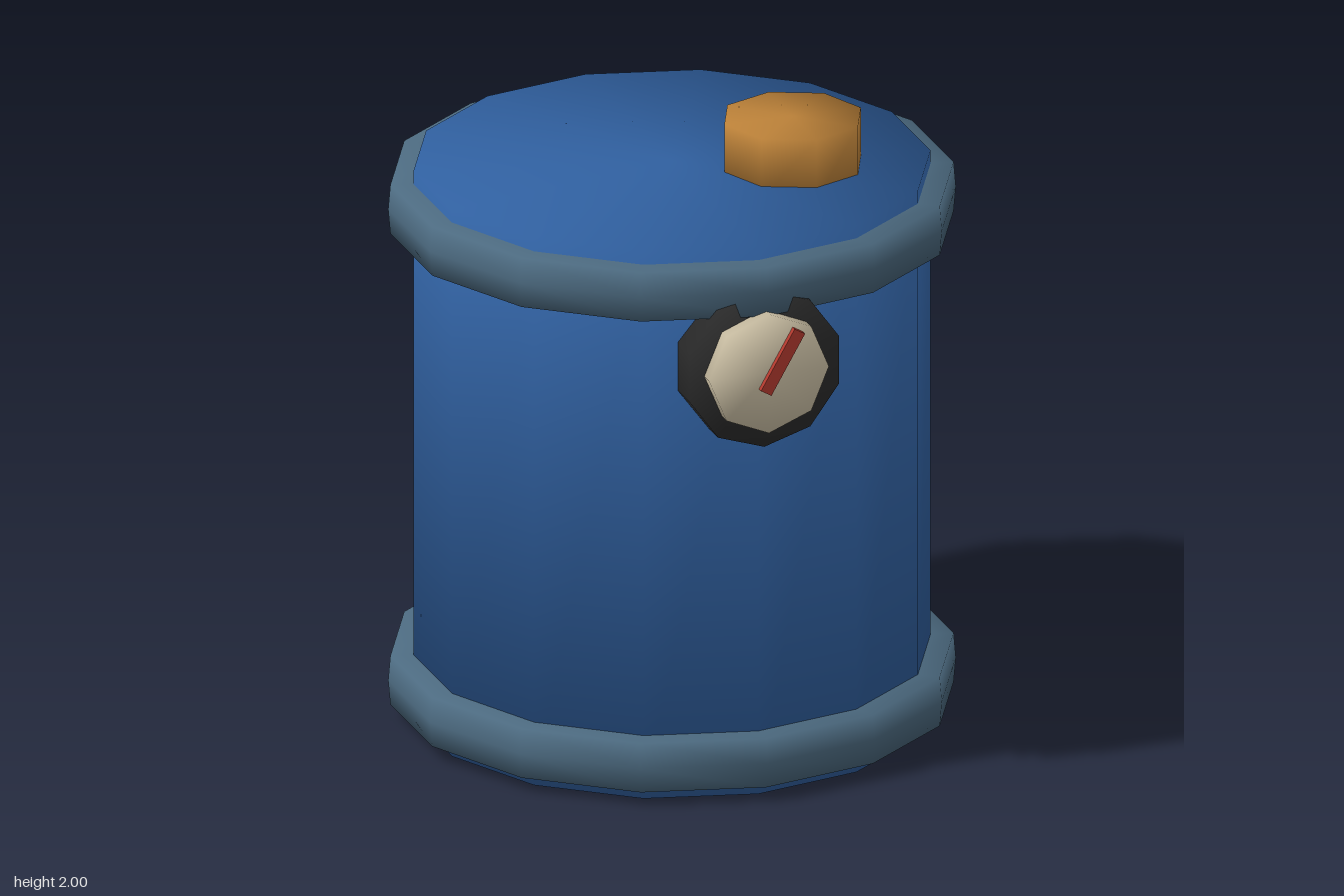
import * as THREE from 'three';
import { mergeVertices } from 'three/addons/utils/BufferGeometryUtils.js';

function paint(name, color) {
  const material = new THREE.MeshStandardMaterial({ color });
  material.name = name;
  return material;
}

// Closed low-poly cylinder whose rim normals are shared by side and caps
function drumGeometry(radius, height, sides) {
  let geometry = new THREE.CylinderGeometry(radius, radius, height, sides);
  geometry.deleteAttribute('uv');
  geometry.deleteAttribute('normal');
  geometry = mergeVertices(geometry);
  const position = geometry.attributes.position;
  const normals = new Float32Array(position.count * 3);
  const n = new THREE.Vector3();
  for (let i = 0; i < position.count; i++) {
    n.set(position.getX(i) / radius, Math.sign(position.getY(i)) * 0.88, position.getZ(i) / radius);
    n.normalize().toArray(normals, i * 3);
  }
  geometry.setAttribute('normal', new THREE.BufferAttribute(normals, 3));
  return geometry;
}

// Band section: nearly square, very slightly crowned on the outside
function bandGeometry() {
  const profile = [[0.76, -0.082], [0.893, -0.082], [0.9, 0], [0.893, 0.082], [0.76, 0.082]];
  return new THREE.LatheGeometry(profile.map(([r, y]) => new THREE.Vector2(r, y)), 14);
}

export function createModel() {
  const model = new THREE.Group();
  model.name = 'tank';

  const blue = paint('tank blue', 0x3060a0);
  const slate = paint('slate band', 0x4c6a80);
  const amber = paint('amber cap', 0xba8038);
  const black = paint('gauge black', 0x2c2c2c);
  const cream = paint('dial cream', 0xd2c6aa);
  const red = paint('needle red', 0xb23a2e);

  function add(name, geometry, material, x, y, z) {
    const mesh = new THREE.Mesh(geometry, material);
    mesh.name = name;
    mesh.position.set(x, y, z);
    model.add(mesh);
    return mesh;
  }

  // Tank body
  add('body', drumGeometry(0.82, 1.84, 14), blue, 0, 0.92, -0.02);

  // Bands around the bottom and top
  add('lowerBand', bandGeometry(), slate, 0, 0.13, -0.02);
  add('upperBand', bandGeometry(), slate, 0, 1.715, -0.02);

  // Filler cap, set off centre on the lid
  add('fillerCap', drumGeometry(0.228, 0.2, 8), amber, 0.35, 1.9, 0.13);

  // Gauge: housing, dial and slanted needle
  add('gaugeHousing', drumGeometry(0.262, 0.155, 10), black, 0, 1.45, 0.7775).rotation.x = Math.PI / 2;
  add('gaugeDial', drumGeometry(0.2, 0.07, 8), cream, 0, 1.45, 0.865).rotation.x = Math.PI / 2;
  add('gaugeNeedle', new THREE.BoxGeometry(0.04, 0.225, 0.04), red, 0.04, 1.49, 0.9).rotation.z = -Math.PI / 6;

  return model;
}
